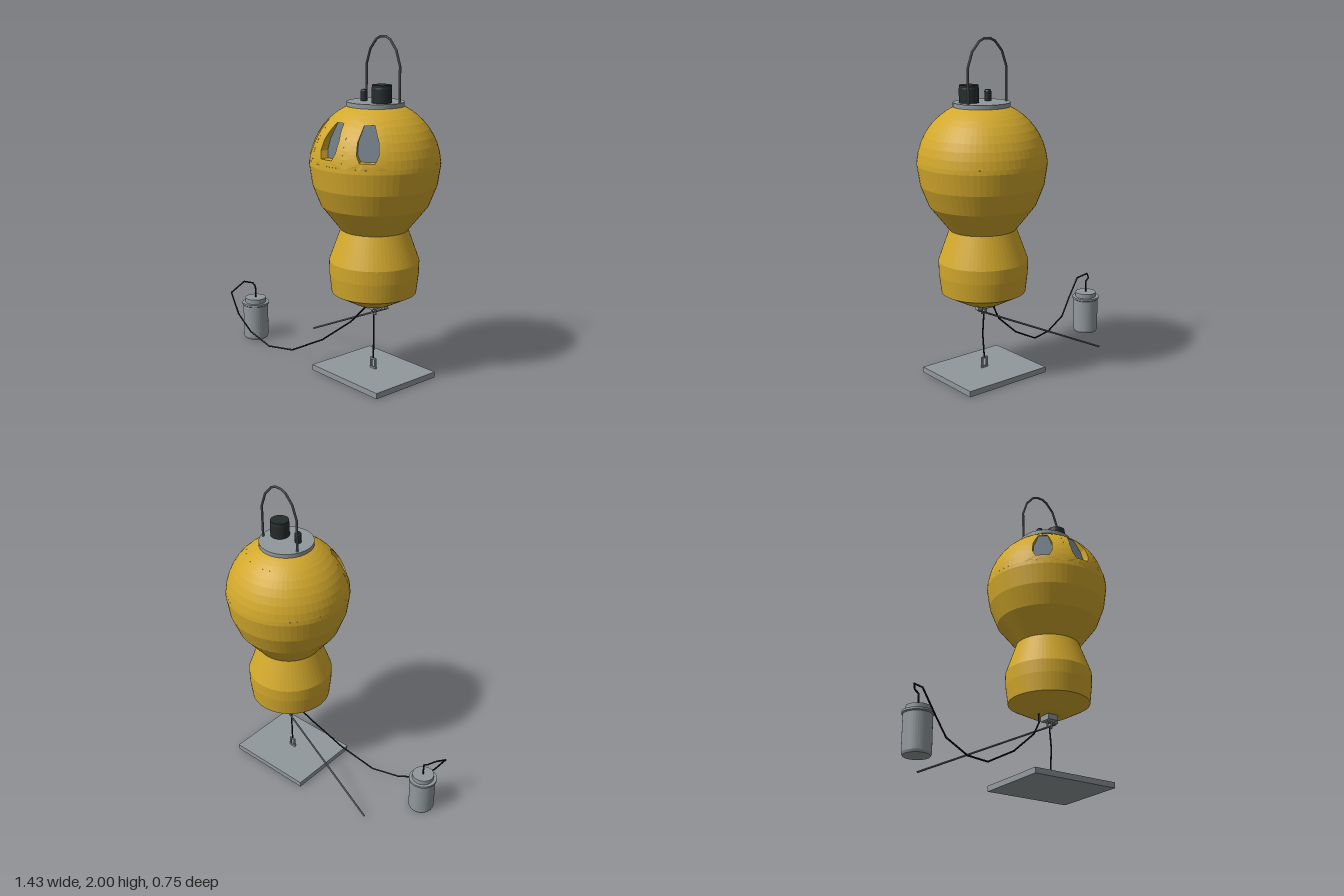
import * as THREE from 'three';

const mat = (name, color) => new THREE.MeshStandardMaterial({ name, color, flatShading: true });
const V = (x, y, z) => new THREE.Vector3(x, y, z);

const R = 0.375, CY = 1.27;            // upper sphere radius and centre height
const BAND = [1.31, 1.56];             // heights between which the windows sit
const HALF = 0.3;                      // half angle of one window panel
const WINDOWS = [-0.7, 0, 0.7];
const ringR = (y) => Math.sqrt(R * R - (y - CY) ** 2);
const onSphere = (a, y) => V(ringR(y) * Math.sin(a), y, ringR(y) * Math.cos(a));

// Joins successive closed loops of points with quads
function loft(loops) {
  const pos = [], idx = [], n = loops[0].length;
  loops.forEach((l) => l.forEach((p) => pos.push(p.x, p.y, p.z)));
  for (let k = 0; k < loops.length - 1; k++) {
    for (let i = 0; i < n; i++) {
      const a = k * n + i, b = k * n + (i + 1) % n;
      idx.push(a, b, b + n, a, b + n, a + n);
    }
  }
  const g = new THREE.BufferGeometry();
  g.setAttribute('position', new THREE.Float32BufferAttribute(pos, 3));
  g.setIndex(idx);
  g.computeVertexNormals();
  return g;
}

// Splits each edge of a closed 2D outline
function subdivide(pts, n) {
  return pts.flatMap((p, i) => {
    const q = pts[(i + 1) % pts.length];
    return Array.from({ length: n }, (_, k) => [p[0] + (q[0] - p[0]) * k / n, p[1] + (q[1] - p[1]) * k / n]);
  });
}

const lathe = (pts, segs = 64, start = 0, len = Math.PI * 2) =>
  new THREE.LatheGeometry(pts.map(([x, y]) => new THREE.Vector2(x, y)), segs, start, len);

// Sphere profile between two heights, evenly spaced by angle
function arcProfile(y0, y1, n) {
  const t0 = Math.asin((y0 - CY) / R), t1 = Math.asin((y1 - CY) / R);
  return Array.from({ length: n + 1 }, (_, i) => {
    const t = t0 + (t1 - t0) * i / n;
    return [R * Math.cos(t), CY + R * Math.sin(t)];
  });
}

export function createModel() {
  const yellow = mat('yellow paint', 0xd2a82c);
  const grey = mat('grey metal', 0x91989c);
  const steel = mat('dark steel', 0x707476);
  const black = mat('black plastic', 0x252c2c);
  const cableBlack = mat('cable black', 0x141717);
  const glass = mat('window glass', 0x69757f);
  glass.side = THREE.DoubleSide;

  const root = new THREE.Group();
  const add = (parent, name, geo, material, x = 0, y = 0, z = 0) => {
    const m = new THREE.Mesh(geo, material);
    m.name = name;
    m.position.set(x, y, z);
    parent.add(m);
    return m;
  };
  const box = (parent, name, material, w, h, d, x, y, z) =>
    add(parent, name, new THREE.BoxGeometry(w, h, d), material, x, y, z);
  // Straight round bars along a list of points
  const line = (parent, name, material, r, pts) => {
    const g = new THREE.Group();
    g.name = name;
    parent.add(g);
    for (let i = 0; i < pts.length - 1; i++) {
      const a = V(...pts[i]), b = V(...pts[i + 1]), d = b.clone().sub(a);
      const m = add(g, name + 'Segment', new THREE.CylinderGeometry(r, r, d.length() + r * 0.6, 8), material);
      m.position.copy(a).add(b).multiplyScalar(0.5);
      m.quaternion.setFromUnitVectors(V(0, 1, 0), d.normalize());
    }
  };
  // Small upright rectangular loop
  const link = (name, x, y, z, w, h, t) => {
    for (const s of [-1, 1]) {
      box(root, name, grey, t, h, t, x + s * (w - t) / 2, y, z);
      box(root, name, grey, w, t, t, x, y + s * (h - t) / 2, z);
    }
  };

  // Buoy hull: lower bulb, waist, sphere
  const buoy = new THREE.Group();
  buoy.name = 'buoy';
  buoy.position.x = 0.335;
  root.add(buoy);
  add(buoy, 'lowerHull', lathe([[0, 0.452], [0.11, 0.453], [0.247, 0.525], [0.26, 0.635], [0.262, 0.715],
    [0.235, 0.79], [0.195, 0.9], [0.31, 1.045], [0.357, 1.165], [0.375, 1.285], [ringR(BAND[0]), BAND[0]]]), yellow);
  add(buoy, 'hullCrown', lathe(arcProfile(BAND[1], 1.612, 3)), yellow);

  // Plain hull sectors between the windows
  const band = arcProfile(...BAND, 6);
  WINDOWS.forEach((a, i) => {
    const next = i < 2 ? WINDOWS[i + 1] : WINDOWS[0] + Math.PI * 2;
    const len = next - a - HALF * 2;
    add(buoy, 'hullSector', lathe(band, Math.max(2, Math.round(len * 10)), a + HALF, len), yellow);
  });

  // Window panels with a recessed, tilted pane
  const right = [[0.042, 1.345], [0.06, 1.385], [0.058, 1.45], [0.028, 1.538]];
  const mirror = (pts) => [...pts, ...pts.map(([x, y]) => [-x, y]).reverse()];
  const hole = subdivide(mirror(right), 3);
  const frame = subdivide(mirror([[HALF, BAND[0]], [HALF, 1.39], [HALF, 1.46], [HALF, BAND[1]]]), 3);
  const holeAngles = hole.map(([x, y]) => [Math.asin(x / ringR(y)), y]);
  const rings = [0, 1, 2, 3, 4].map((k) => frame.map(([a, y], i) => {
    const [ha, hy] = holeAngles[i];
    return onSphere(a + (ha - a) * k / 4, y + (hy - y) * k / 4);
  }));
  const pane = hole.map(([x, y]) => V(x, y, 0.315 - (y - 1.345) * 0.316));
  const centre = V(0, 1.44, 0.315 - 0.095 * 0.316);
  for (const a of WINDOWS) {
    const w = new THREE.Group();
    w.name = 'window';
    w.rotation.y = a;
    buoy.add(w);
    add(w, 'windowPanel', loft(rings), yellow);
    add(w, 'windowRecess', loft([rings[4], pane]), yellow);
    add(w, 'windowPane', loft([pane, pane.map(() => centre)]), glass);
  }

  // Top plate with fittings and lifting handle
  add(buoy, 'topPlate', new THREE.CylinderGeometry(0.163, 0.163, 0.025, 48), grey, 0, 1.623, 0);
  add(buoy, 'largeCap', lathe([[0.057, 1.635], [0.057, 1.715], [0.055, 1.722], [0.055, 1.735], [0, 1.735]], 32),
    black, 0.072, 0, 0.022);
  add(buoy, 'smallCap', lathe([[0.02, 1.635], [0.02, 1.69], [0.014, 1.7], [0, 1.7]], 20), black, -0.066, 0, 0.028);
  const leg = [[-0.135, 1.63], [-0.135, 1.835], [-0.104, 1.922], [-0.055, 1.978], [-0.022, 1.993]];
  line(buoy, 'handle', steel, 0.007,
    [...leg, ...leg.map(([x, y]) => [-x, y]).reverse()].map(([x, y]) => [x, y, -0.055]));

  // Fittings under the hull
  box(root, 'mooringBlock', grey, 0.07, 0.034, 0.08, 0.335, 0.436, 0);
  box(root, 'barMount', grey, 0.03, 0.03, 0.03, 0.395, 0.437, -0.03);
  link('upperLink', 0.335, 0.4, 0, 0.038, 0.045, 0.009);
  line(root, 'sensorBar', steel, 0.006, [[0.41, 0.425, -0.04], [-0.44, 0.03, -0.185]]);

  // Anchor plate and mooring line
  box(root, 'anchorPlate', grey, 0.562, 0.034, 0.472, 0.335, 0.021, 0.002);
  link('anchorLink', 0.335, 0.072, 0, 0.044, 0.066, 0.01);
  line(root, 'mooringLine', cableBlack, 0.005, [[0.335, 0.385, 0], [0.342, 0.25, 0.004], [0.335, 0.1, 0]]);

  // Instrument canister and its cable
  add(root, 'canister', lathe([[0, 0.004], [0.074, 0.004], [0.08, 0.018], [0.08, 0.225], [0.087, 0.23],
    [0.087, 0.242], [0.067, 0.242], [0.067, 0.272], [0, 0.272]], 40), grey, -0.634, 0, 0.148);
  line(root, 'cable', cableBlack, 0.005, [[-0.634, 0.27, 0.148], [-0.634, 0.345, 0.148], [-0.66, 0.363, 0.15],
    [-0.69, 0.375, 0.197], [-0.694, 0.32, 0.297], [-0.62, 0.195, 0.297], [-0.53, 0.09, 0.267],
    [-0.38, 0.028, 0.236], [-0.215, 0.036, 0.178], [0, 0.15, 0.112], [0.185, 0.3, 0.048],
    [0.257, 0.395, 0.002], [0.257, 0.47, 0]]);

  return root;
}
